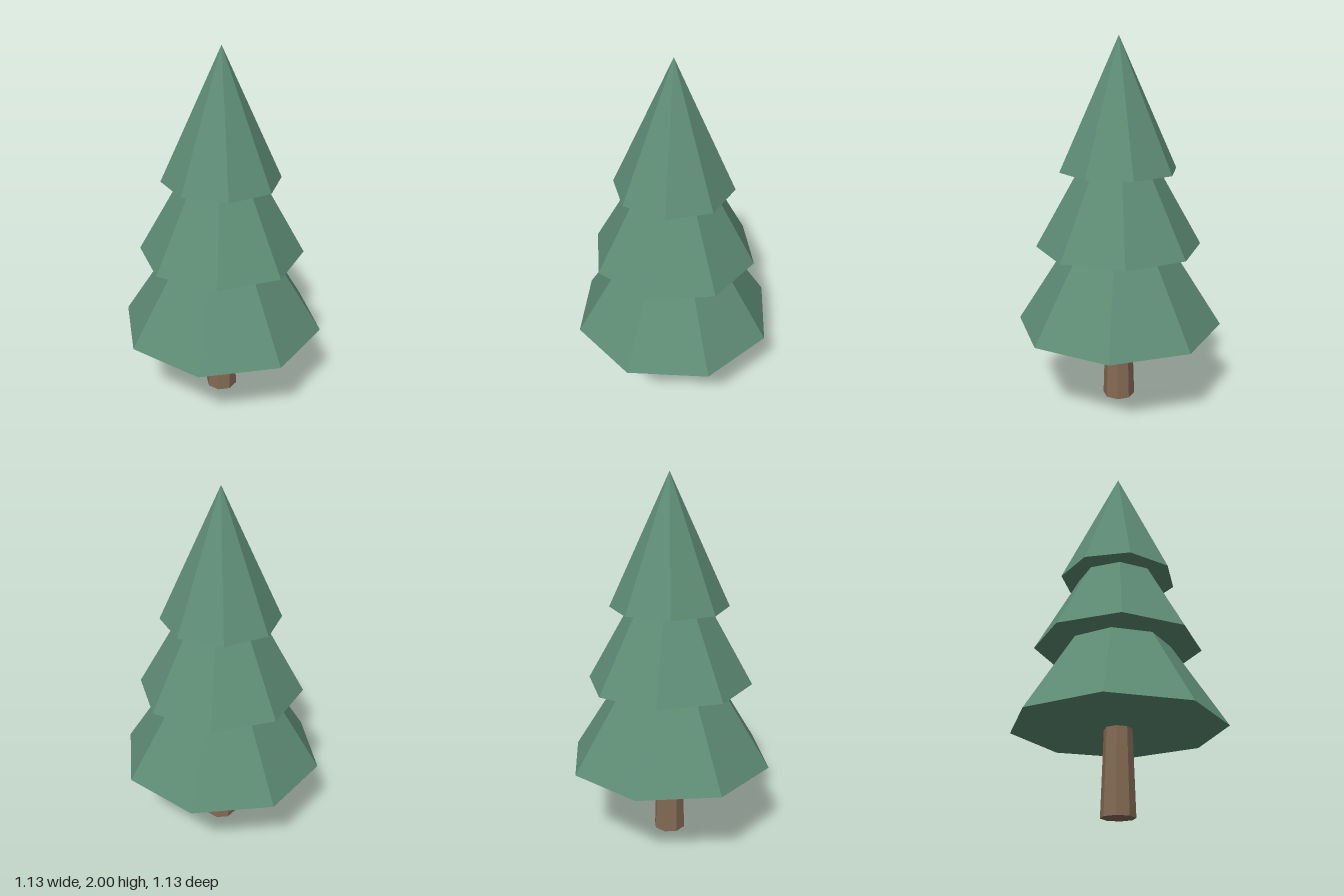
import * as THREE from 'three';

const SIDES = 8;

export function createModel() {
  const tree = new THREE.Group();
  tree.name = 'pineTree';

  const needles = new THREE.MeshStandardMaterial({ color: 0x5e8c75, flatShading: true });
  needles.name = 'needle green';
  const bark = new THREE.MeshStandardMaterial({ color: 0x846a54, flatShading: true });
  bark.name = 'bark brown';

  // Tapered trunk, running slightly into the lowest tier
  const trunkHeight = 0.5;
  const trunk = new THREE.Mesh(new THREE.CylinderGeometry(0.072, 0.089, trunkHeight, SIDES), bark);
  trunk.name = 'trunk';
  trunk.position.y = trunkHeight / 2;
  tree.add(trunk);

  // Overlapping foliage cones, each twisted a little further than the one below
  const tiers = [
    { name: 'lowerFoliage', radius: 0.565, base: 0.445, height: 0.89 },
    { name: 'middleFoliage', radius: 0.45, base: 0.89, height: 0.8 },
    { name: 'upperFoliage', radius: 0.32, base: 1.305, height: 0.695 },
  ];
  tiers.forEach(({ name, radius, base, height }, i) => {
    const tier = new THREE.Mesh(new THREE.ConeGeometry(radius, height, SIDES), needles);
    tier.name = name;
    tier.position.y = base + height / 2;
    tier.rotation.y = i * 0.16;
    tree.add(tier);
  });

  return tree;
}
